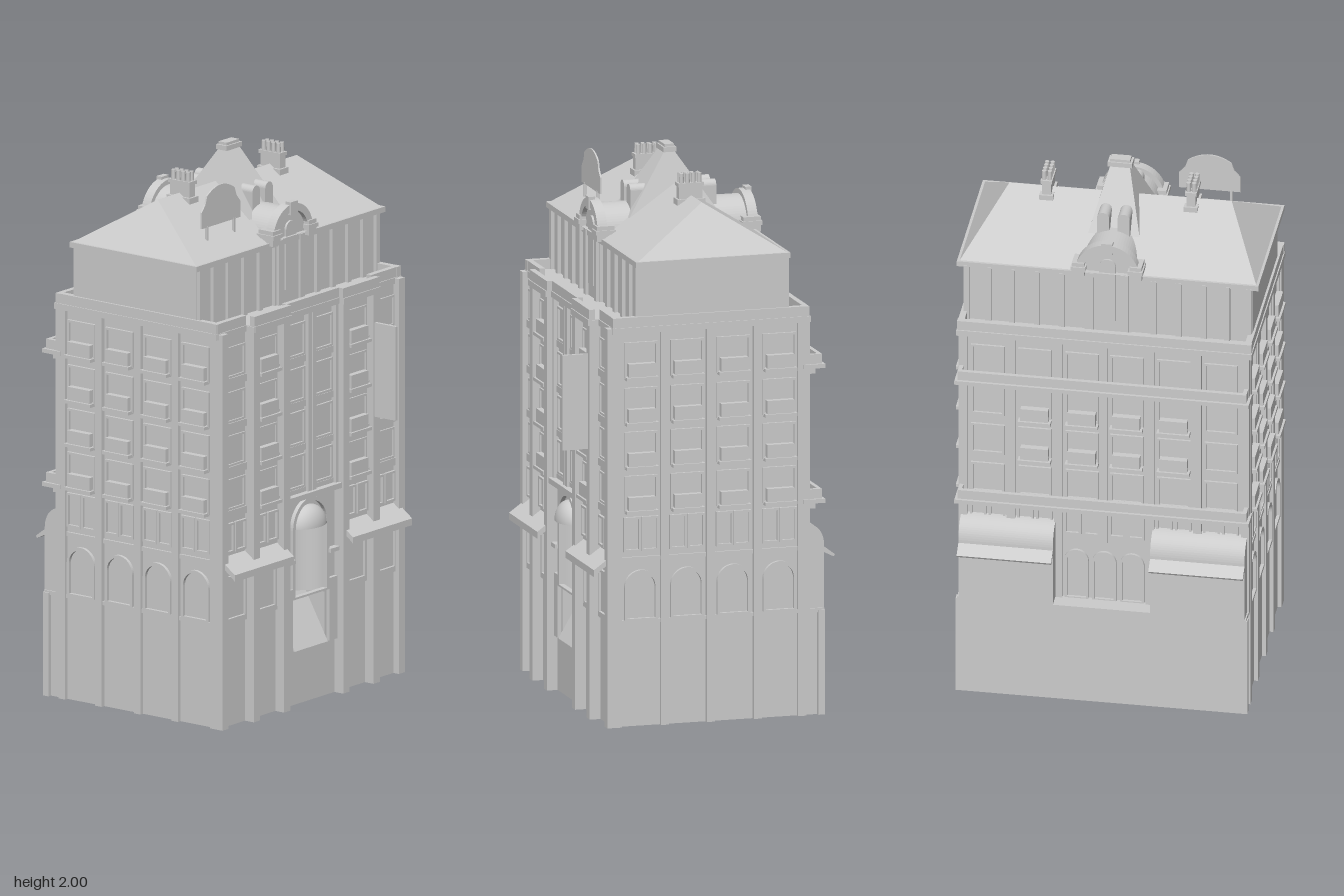
import * as THREE from 'three';
import { ConvexGeometry } from 'three/addons/geometries/ConvexGeometry.js';

const mat = new THREE.MeshStandardMaterial({ color: 0xcccccc, side: THREE.DoubleSide });
const ZC = -0.02; // centre line of the roof

export function createModel() {
  const root = new THREE.Group();
  const add = (name, geo) => {
    const m = new THREE.Mesh(geo, mat);
    m.name = name;
    root.add(m);
    return m;
  };
  const box = (name, x0, x1, y0, y1, z0, z1) =>
    add(name, new THREE.BoxGeometry(Math.abs(x1 - x0), y1 - y0, Math.abs(z1 - z0))
      .translate((x0 + x1) / 2, (y0 + y1) / 2, (z0 + z1) / 2));
  const both = (fn) => [-1, 1].forEach(fn);
  const outline = (pts) => new THREE.Shape(pts.map(([a, b]) => new THREE.Vector2(a, b)));
  const extrude = (shape, depth) =>
    new THREE.ExtrudeGeometry(shape, { depth, bevelEnabled: false, curveSegments: 16 });
  // profile in (z, y), swept along x
  const sweepX = (name, shape, x0, x1) =>
    add(name, extrude(shape, x1 - x0).rotateY(-Math.PI / 2).translate(x1, 0, 0));
  const convex = (name, pts) => add(name, new ConvexGeometry(pts.map((p) => new THREE.Vector3(...p))));
  // upright panel with a round head, facing z
  const archShape = (w, y0, spring) => {
    const s = new THREE.Shape();
    s.moveTo(-w, y0);
    s.lineTo(w, y0);
    s.lineTo(w, spring);
    s.absarc(0, spring, w, 0, Math.PI, false);
    s.lineTo(-w, y0);
    return s;
  };
  const archFrame = (w, y0, spring, t, depth) => {
    const s = archShape(w + t, y0, spring);
    s.holes.push(new THREE.Path(archShape(w, y0 + t * 0.5, spring).getPoints(12)));
    return extrude(s, depth);
  };
  const frame = (w, y0, y1, t, depth) => {
    const s = outline([[-w, y0], [w, y0], [w, y1], [-w, y1]]);
    s.holes.push(new THREE.Path([[-w + t, y0 + t], [w - t, y0 + t], [w - t, y1 - t], [-w + t, y1 - t]]
      .map(([a, b]) => new THREE.Vector2(a, b))));
    return extrude(s, depth);
  };
  // place a z-facing geometry on a wall: 'f' front, 'b' back, or side sign
  const onFront = (name, geo, x, z) => add(name, geo.translate(x, 0, z));
  const onBack = (name, geo, x, z) => add(name, geo.rotateY(Math.PI).translate(x, 0, z));
  const onSide = (name, geo, s, z) => add(name, geo.rotateY(s * Math.PI / 2).translate(s * 0.51, 0, z));
  const levels = [0.78, 0.94, 1.1, 1.265];

  // open-bottomed base walls
  box('baseBack', -0.515, 0.515, 0, 0.38, -0.44, -0.42);
  both((s) => {
    box('baseSide', s * 0.49, s * 0.51, 0, 0.38, -0.44, 0.345);
    box('baseFront', s * 0.095, s * 0.51, 0, 0.38, 0.325, 0.345);
  });
  box('baseFrontCentre', -0.095, 0.095, 0, 0.205, 0.325, 0.345);
  box('rearTerrace', -0.515, 0.515, 0.37, 0.385, -0.44, -0.36);
  sweepX('entranceRamp', outline([[0.36, 0.2], [0.25, 0.39], [0.24, 0.39], [0.34, 0.2]]), -0.095, 0.095);

  // lower body with the round entrance niche, then the plain main body
  const plan = outline([[-0.51, 0.37], [-0.51, -0.345], [-0.09, -0.345]]);
  plan.absarc(0, -0.335, 0.09, Math.PI, 0, true);
  plan.lineTo(0.09, -0.345);
  plan.lineTo(0.51, -0.345);
  plan.lineTo(0.51, 0.37);
  add('lowerBody', extrude(plan, 0.27).rotateX(-Math.PI / 2).translate(0, 0.38, 0));
  box('mainBody', -0.51, 0.51, 0.65, 1.45, -0.37, 0.345);
  add('entranceDome', new THREE.SphereGeometry(0.085, 24, 8, 0, Math.PI, 0, Math.PI / 2)
    .scale(1, 0.9, 0.62).translate(0, 0.645, 0.345));
  onFront('entranceArch', archFrame(0.09, 0.39, 0.645, 0.015, 0.02), 0, 0.34);
  box('entranceLintel', -0.15, 0.15, 0.755, 0.775, 0.34, 0.38);
  both((s) => {
    box('entranceJamb', s * 0.105, s * 0.15, 0.2, 0.43, 0.34, 0.36);
    box('entranceLedge', s * 0.1, s * 0.15, 0.525, 0.54, 0.34, 0.37);
  });

  // front bays
  both((s) => {
    for (const [x, w, z] of [[0.508, 0.034, 0.37], [0.345, 0.036, 0.385], [0.17, 0.036, 0.385]])
      box('frontPilaster', s * x - w / 2, s * x + w / 2, 0, 1.45, 0.34, z);
    box('bayProjection', s * 0.17, s * 0.345, 0.62, 1.45, 0.34, 0.355);
    for (const x of [0.43, 0.258]) {
      const z = x > 0.4 ? 0.343 : 0.353;
      onFront('shopWindow', frame(0.068, 0.385, 0.55, 0.01, 0.012), s * x, 0.343);
      both((k) => onFront('pairedWindow', frame(0.03, 0.635, 0.745, 0.008, 0.012), s * x + k * 0.034, z));
      for (const y of levels) {
        box('spandrel', s * x - 0.072, s * x + 0.072, y - 0.015, y + 0.012, 0.34, z + 0.012);
        onFront('windowFrame', frame(0.062, y + 0.012, y + 0.125, 0.008, 0.008), s * x, z);
        if (x < 0.4) balcony(s * x, y, z, 0);
      }
    }
    box('storeBand', s * 0.17, s * 0.51, 0.375, 0.387, 0.34, 0.355);
    sweepX('frontAwning', outline([[0.345, 0.625], [0.415, 0.575], [0.415, 0.55], [0.405, 0.56], [0.345, 0.605]]),
      s > 0 ? 0.17 : -0.51, s > 0 ? 0.51 : -0.17);
    box('centreEdge', s * 0.135, s * 0.15, 0.775, 1.45, 0.34, 0.365);
  });
  for (const x of [-0.014, 0.014]) box('centreMullion', x - 0.01, x + 0.01, 0.775, 1.45, 0.34, 0.365);
  both((s) => {
    for (const y of levels) {
      box('centreSpandrel', s * 0.02, s * 0.135, y - 0.012, y + 0.012, 0.34, 0.355);
      onFront('centreWindow', frame(0.054, y + 0.012, y + 0.135, 0.008, 0.01), s * 0.079, 0.343);
    }
  });
  box('bladeSign', 0.332, 0.344, 0.98, 1.325, 0.385, 0.48);

  // shallow window balcony; turn 0 = front, PI = back, +-PI/2 = sides
  function balcony(x, y, z, turn) {
    const g = new THREE.Group();
    g.name = 'balcony';
    for (const [w, h, d, yy] of [[0.118, 0.012, 0.032, 0], [0.1, 0.048, 0.024, 0.03]]) {
      const m = new THREE.Mesh(new THREE.BoxGeometry(w, h, d).translate(0, yy, d / 2), mat);
      m.name = 'balconyPart';
      g.add(m);
    }
    g.position.set(x, y, z);
    g.rotation.y = turn;
    root.add(g);
  }

  // side walls
  both((s) => {
    for (const z of [0.33, 0.155, -0.015, -0.19, -0.355])
      box('sidePilaster', s * 0.5, s * 0.525, 0, 1.45, z - 0.015, z + 0.015);
    box('sideRearPilaster', s * 0.5, s * 0.525, 0, 0.38, -0.44, -0.415);
    box('sideBand', s * 0.5, s * 0.52, 0.373, 0.387, -0.44, 0.345);
    box('sideUpperBand', s * 0.5, s * 0.518, 0.6, 0.615, -0.37, 0.345);
    for (const z of [0.242, 0.07, -0.102, -0.273]) {
      onSide('archedWindow', archFrame(0.052, 0.387, 0.505, 0.01, 0.012), s, z);
      both((k) => onSide('pairedWindow', frame(0.032, 0.635, 0.76, 0.008, 0.01), s, z + k * 0.033));
      for (const y of levels) {
        balcony(s * 0.51, y, z, s * Math.PI / 2);
        onSide('windowFrame', frame(0.062, y, y + 0.13, 0.008, 0.01), s, z);
      }
    }
  });

  // back: curved annexes, arches, ledges and windows
  both((s) => {
    const a = new THREE.Shape();
    a.moveTo(-0.36, 0.38);
    a.lineTo(-0.44, 0.38);
    a.lineTo(-0.44, 0.61);
    a.quadraticCurveTo(-0.44, 0.69, -0.36, 0.7);
    const x0 = s > 0 ? 0.175 : -0.515;
    sweepX('rearAnnex', a, x0, x0 + 0.34);
    sweepX('rearAwning', outline([[-0.435, 0.612], [-0.48, 0.578], [-0.475, 0.57], [-0.435, 0.59]]), x0, x0 + 0.34);
    for (const x of [0.165, 0.335, 0.508]) box('rearPilaster', s * x - 0.015, s * x + 0.015, 0.38, 1.45, -0.385, -0.36);
    for (const x of [0.08, 0.25, 0.42]) {
      for (const y of levels) {
        onBack('rearWindow', frame(0.06, y + 0.01, y + 0.13, 0.008, 0.01), s * x, -0.368);
        if (x < 0.4 && y > 0.9 && y < 1.2) balcony(s * x, y, -0.37, Math.PI);
      }
      both((k) => onBack('rearPairedWindow', frame(0.03, 0.645, 0.745, 0.008, 0.01), s * x + k * 0.034, -0.368));
    }
  });
  for (const x of [-0.1, 0, 0.1]) onBack('rearArch', archFrame(0.034, 0.385, 0.54, 0.009, 0.012), x, -0.368);
  box('rearMullion', -0.012, 0.012, 0.62, 1.45, -0.382, -0.36);
  for (const y of [0.77, 1.26]) {
    box('rearLedge', -0.53, 0.53, y, y + 0.015, -0.44, -0.36);
    box('rearLedgeRail', -0.52, 0.52, y + 0.015, y + 0.05, -0.43, -0.415);
    both((s) => box('rearLedgeEnd', s * 0.505, s * 0.52, y + 0.015, y + 0.05, -0.43, -0.36));
    for (let i = 0; i < 25; i++)
      box('ledgeBracket', -0.511 + i * 0.0425, -0.499 + i * 0.0425, y - 0.02, y, -0.405, -0.365);
  }

  // main cornice and parapet, stepping with the bays
  for (const [x0, x1, z] of [[-0.53, -0.36, 0.352], [-0.36, -0.15, 0.39], [-0.15, 0.15, 0.37], [0.15, 0.36, 0.39], [0.36, 0.53, 0.352]]) {
    box('frontCornice', x0, x1, 1.43, 1.452, 0.2, z);
    box('frontParapet', x0, x1, 1.45, 1.488, z - 0.025, z - 0.004);
  }
  box('rearCornice', -0.53, 0.53, 1.43, 1.452, -0.385, -0.2);
  box('rearParapet', -0.53, 0.53, 1.45, 1.488, -0.38, -0.36);
  both((s) => {
    box('sideCornice', s * 0.4, s * 0.532, 1.43, 1.452, -0.385, 0.35);
    box('sideParapet', s * 0.505, s * 0.528, 1.45, 1.488, -0.38, 0.35);
  });

  // set-back top storey with pilasters
  box('topStorey', -0.52, 0.52, 1.45, 1.675, -0.295, 0.25);
  both((s) => {
    for (const x of [0.508, 0.43, 0.345, 0.255, 0.165])
      box('topPilaster', s * x - 0.01, s * x + 0.01, 1.45, 1.675, -0.308, 0.263);
  });
  box('eaves', -0.543, 0.543, 1.67, 1.69, -0.306, 0.268);

  // hipped roof and tapered central tower
  const roof = [[-0.4, 1.862, ZC], [0.4, 1.862, ZC]];
  const tower = [];
  both((s) => both((k) => {
    roof.push([s * 0.535, 1.688, ZC + k * 0.28]);
    tower.push([s * 0.115, 1.69, -0.012 + k * 0.21], [s * 0.035, 1.975, -0.012 + k * 0.018]);
  }));
  convex('hipRoof', roof);
  convex('roofTower', tower);
  box('towerCap', -0.044, 0.044, 1.972, 1.99, -0.036, 0.012);
  box('towerCapTop', -0.036, 0.036, 1.99, 2, -0.03, 0.006);

  // round-headed dormers, front and back
  both((k) => {
    const zAt = (d) => ZC + k * d;
    const sweep = (name, shape, d0, d1) =>
      add(name, extrude(shape, d1 - d0).translate(0, 0, k > 0 ? zAt(d0) : zAt(d1)));
    sweep('dormer', archShape(0.085, 1.45, 1.7), 0.1, 0.282);
    sweep('dormerHood', archShape(0.1, 1.69, 1.695), 0.14, 0.27);
    const rim = archShape(0.115, 1.695, 1.698);
    rim.holes.push(new THREE.Path(archShape(0.088, 1.696, 1.698).getPoints(16)));
    sweep('dormerRim', rim, 0.262, 0.298);
    const win = archShape(0.03, 1.5, 1.72);
    sweep('dormerWindow', win, 0.28, 0.29);
    box('dormerKeystone', -0.02, 0.02, 1.775, 1.822, zAt(0.28), zAt(0.303));
    both((s) => {
      box('dormerPier', s * 0.082, s * 0.125, 1.68, 1.735, zAt(0.24), zAt(0.305));
      box('dormerPierCap', s * 0.076, s * 0.13, 1.705, 1.72, zAt(0.235), zAt(0.31));
      box('dormerJamb', s * 0.05, s * 0.075, 1.45, 1.69, zAt(0.27), zAt(0.292));
      const hood = archShape(0.022, 1.7, 1.842);
      add('roofVent', extrude(hood, 0.07).translate(s * 0.037, 0, k > 0 ? zAt(0.09) : zAt(0.16)));
    });
  });

  // chimneys with pots
  both((s) => {
    const x = s * 0.26;
    box('chimney', x - 0.016, x + 0.016, 1.76, 1.9, -0.062, 0.026);
    box('chimneyFoot', x - 0.025, x + 0.025, 1.76, 1.85, -0.07, 0.034);
    box('chimneyCap', x - 0.021, x + 0.021, 1.895, 1.908, -0.066, 0.03);
    for (let i = 0; i < 4; i++) both((k) =>
      add('chimneyPot', new THREE.CylinderGeometry(0.008, 0.009, 0.036, 8)
        .translate(x + k * 0.01, 1.924, -0.051 + i * 0.022)));
  });

  // roof signboard on two posts
  const board = outline([[-0.4, 1.785], [-0.178, 1.785], [-0.178, 1.845], [-0.2, 1.87], [-0.21, 1.9]]);
  board.quadraticCurveTo(-0.289, 1.955, -0.368, 1.9);
  board.lineTo(-0.378, 1.87);
  board.lineTo(-0.4, 1.845);
  add('signBoard', extrude(board, 0.006).translate(0, 0, 0.173));
  for (const x of [-0.367, -0.212]) box('signPost', x - 0.004, x + 0.004, 1.73, 1.79, 0.171, 0.181);

  return root;
}
